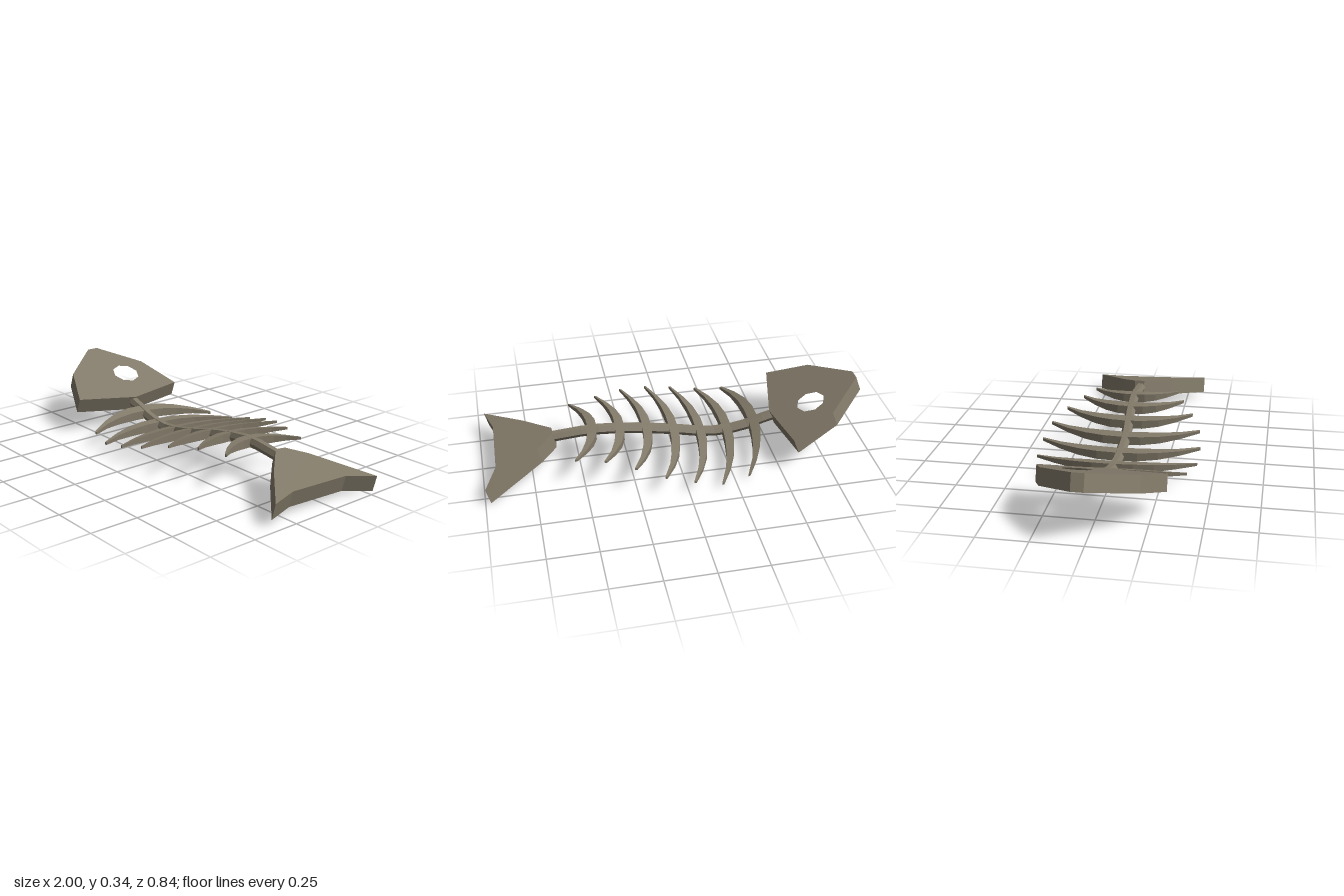
import * as THREE from 'three';

const material = new THREE.MeshStandardMaterial({ color: 0x827a69, flatShading: true });

// Flat-shaded mesh whose vertices are moved by a rule
function addMesh(group, name, geometry, rule) {
  const geo = geometry.index ? geometry.toNonIndexed() : geometry;
  const pos = geo.attributes.position;
  const v = new THREE.Vector3();
  for (let i = 0; rule && i < pos.count; i++) {
    rule(v.fromBufferAttribute(pos, i));
    pos.setXYZ(i, v.x, v.y, v.z);
  }
  geo.computeVertexNormals();
  const mesh = new THREE.Mesh(geo, material);
  mesh.name = name;
  group.add(mesh);
}

// Tilted slab: plan outline in [x, z], top height given by height(x, z),
// underside shifted by (-dx, -dy)
function addSlab(group, name, outline, hole, height, dx, dy) {
  const toPoints = (list) => list.map(([x, z]) => new THREE.Vector2(x, -z));
  const shape = new THREE.Shape(toPoints(outline));
  if (hole) shape.holes.push(new THREE.Path(toPoints(hole)));
  const geo = new THREE.ExtrudeGeometry(shape, { depth: 1, bevelEnabled: false });
  geo.rotateX(-Math.PI / 2);
  addMesh(group, name, geo, (v) => {
    const under = 1 - v.y;
    v.y = height(v.x, v.z) - under * dy;
    v.x -= under * dx;
  });
}

export function createModel() {
  const group = new THREE.Group();
  group.name = 'fishSkeleton';

  // Head with an eye hole
  const eye = [];
  for (let i = 0; i < 8; i++) {
    const a = (i / 8) * Math.PI * 2;
    eye.push([-0.718 + 0.07 * Math.cos(a), -0.086 + 0.075 * Math.sin(a)]);
  }
  addSlab(group, 'head', [
    [-0.97, -0.06], [-0.783, -0.247], [-0.56, -0.32], [-0.52, -0.01],
    [-0.596, 0.315], [-0.8, 0.22], [-0.97, 0.0],
  ], eye, (x) => 0.342 - 0.405 * (x + 0.97), 0.03, 0.079);

  // Forked tail fin
  addSlab(group, 'tailFin', [
    [0.637, -0.03], [0.72, -0.11], [0.995, -0.29], [0.933, -0.14],
    [0.925, 0.2], [0.965, 0.347], [0.77, 0.17], [0.632, 0.025],
  ], null, (x, z) => 0.19 - 0.266 * (x - 0.63) + 0.029 * z, 0.022, 0.083);

  // Wavy spine
  const curve = new THREE.CatmullRomCurve3([
    [-0.57, 0.14, -0.005], [-0.5, 0.12, -0.003], [-0.36, 0.075, 0.002], [-0.2, 0.062, 0.01],
    [0, 0.098, 0.018], [0.2, 0.142, 0.006], [0.42, 0.168, -0.002], [0.66, 0.147, 0.006],
  ].map((p) => new THREE.Vector3(...p)));
  addMesh(group, 'spine', new THREE.TubeGeometry(curve, 14, 0.028, 6));

  // Swept ribs, each one blade across the spine, lying along its slope
  const samples = curve.getPoints(200);
  const lengths = [0.38, 0.417, 0.42, 0.402, 0.348, 0.283, 0.238];
  lengths.forEach((length, i) => {
    const x0 = -0.435 + i * 0.1435;
    const k = samples.findIndex((p) => p.x >= x0);
    const a = samples[k - 6], b = samples[k + 6];
    const slope = (b.y - a.y) / (b.x - a.x);
    const y0 = samples[k].y;
    addMesh(group, 'rib' + (i + 1), new THREE.BoxGeometry(1, 1, 2, 1, 1, 8), (v) => {
      const s = Math.abs(v.z);
      const taper = Math.max(0, (s - 0.35) / 0.65);
      const z = v.z * length;
      const dx = 0.1 * Math.pow(s, 2.2) - 0.05 * z + v.x * (0.047 - 0.036 * taper);
      v.set(x0 + dx, y0 + slope * dx + 0.035 * z + v.y * (0.045 - 0.032 * taper), z);
    });
  });

  return group;
}
